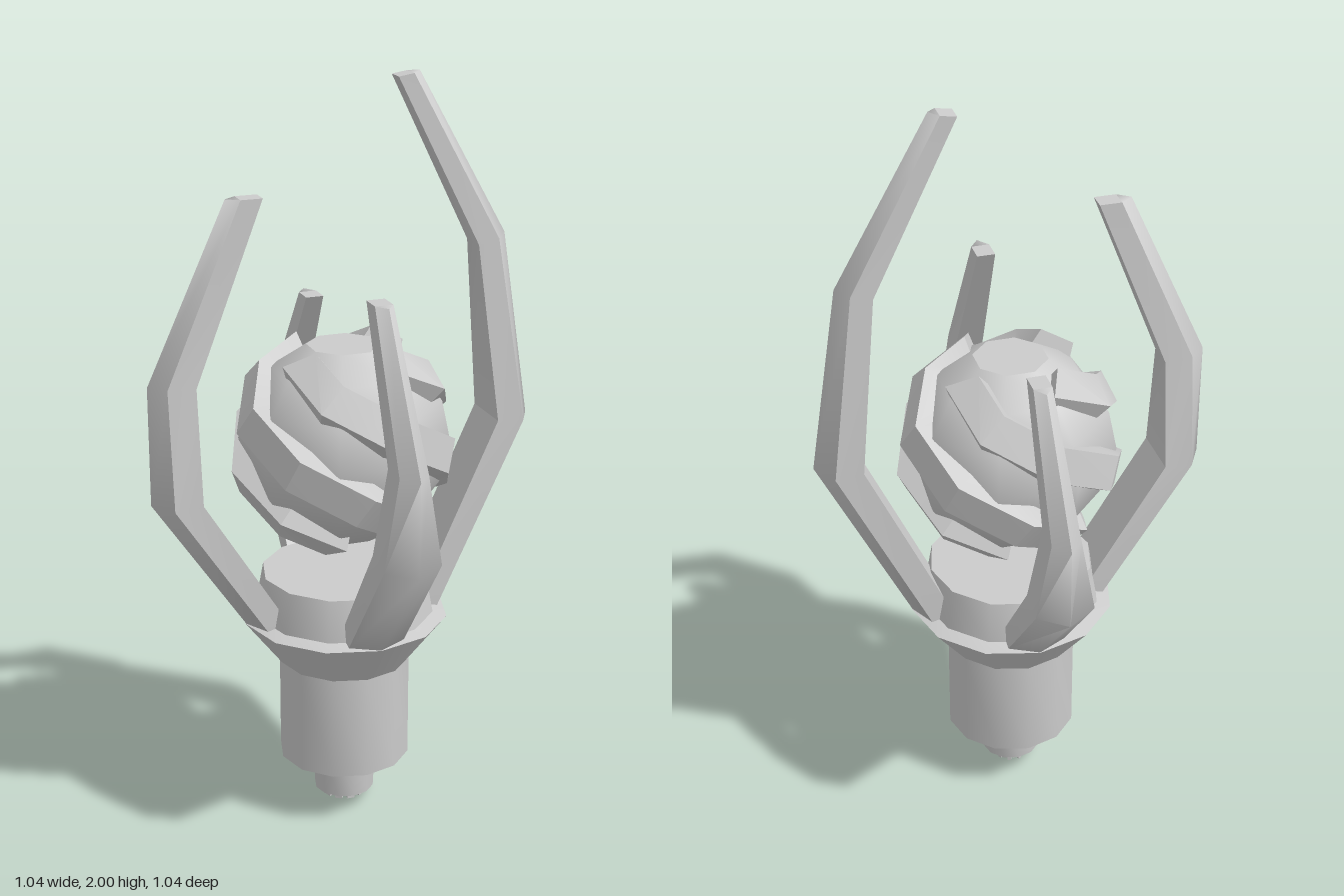
import * as THREE from 'three';
import { mergeGeometries, toCreasedNormals } from 'three/addons/utils/BufferGeometryUtils.js';

const grey = new THREE.MeshStandardMaterial({ color: 0xcccccc, side: THREE.DoubleSide });
const V = (x, y, z) => new THREE.Vector3(x, y, z);

function add(parent, name, geometry) {
  const mesh = new THREE.Mesh(geometry, grey);
  mesh.name = name;
  parent.add(mesh);
  return mesh;
}

function group(parent, name) {
  const g = new THREE.Group();
  g.name = name;
  parent.add(g);
  return g;
}

// Turned shape from [radius, y] pairs, listed upwards
function lathe(profile, sides, turn = 0) {
  return new THREE.LatheGeometry(profile.map(([r, y]) => new THREE.Vector2(r, y)), sides, turn);
}
const turned = (profile) => toCreasedNormals(lathe(profile, 12), 0.65);

// Skin over a row of equal-sized sections with end caps; an open one leaves out the last side
function loft(rings, crease, closed = true) {
  const pos = [];
  const tri = (a, b, c) => [a, b, c].forEach((p) => pos.push(p.x, p.y, p.z));
  const n = rings[0].length;
  for (let k = 0; k < rings.length - 1; k++) {
    for (let i = 0; i < (closed ? n : n - 1); i++) {
      const j = (i + 1) % n, a = rings[k], b = rings[k + 1];
      tri(a[i], a[j], b[j]);
      tri(a[i], b[j], b[i]);
    }
  }
  const first = rings[0], last = rings[rings.length - 1];
  for (let i = 1; i < n - 1; i++) {
    tri(first[0], first[i + 1], first[i]);
    tri(last[0], last[i], last[i + 1]);
  }
  const geo = new THREE.BufferGeometry();
  geo.setAttribute('position', new THREE.Float32BufferAttribute(pos, 3));
  return toCreasedNormals(geo, crease);
}

// Claw arm with a rounded ridge outside and flat sides; stations are [outer, inner, outerY, innerY]
function armGeometry(stations) {
  const widths = [0.076, 0.076, 0.038, 0.024];
  const ridge = [], sides = [];
  stations.forEach(([outer, inner, yo, yi], k) => {
    const w = widths[k];
    const mid = THREE.MathUtils.lerp(outer, inner, 0.36);
    const ym = THREE.MathUtils.lerp(yo, yi, 0.36);
    const left = V(w, ym, mid), right = V(-w, ym, mid);
    ridge.push([right, V(0, yo, outer), left]);
    sides.push([left, V(w, yi, inner), V(-w, yi, inner), right]);
  });
  return mergeGeometries([loft(ridge, 1.45, false), loft(sides, 0.4, false)]);
}

// Broad fin winding down the ball from pole to pole
function finGeometry(start) {
  const topPolar = 0.58, steps = 6;
  const at = (p) => {
    const a = start + 1.9 * (p - topPolar);
    return V(Math.sin(p) * Math.sin(a), Math.cos(p), Math.sin(p) * Math.cos(a));
  };
  const rings = [];
  for (let k = 0; k <= steps; k++) {
    const p = THREE.MathUtils.lerp(Math.PI - topPolar, topPolar, k / steps);
    const normal = at(p);
    const side = at(p - 0.01).sub(at(p + 0.01)).normalize().cross(normal).normalize();
    const point = (s, r) => normal.clone().addScaledVector(side, s / r).setLength(r);
    rings.push([point(0.046, 0.306), point(0.06, 0.24), point(-0.06, 0.24), point(-0.046, 0.306)]);
  }
  return loft(rings, 0.6);
}

export function createModel() {
  const model = new THREE.Group();
  model.name = 'clawLamp';

  // Socket body, flared collar and seat under the ball
  add(model, 'socket', turned([[0, 0.155], [0.177, 0.155], [0.177, 0.44], [0, 0.44]]));
  add(model, 'collar', turned([[0, 0.44], [0.177, 0.44], [0.277, 0.57], [0.24, 0.58], [0.22, 0.69], [0, 0.69]]));

  // Hollow stem with contact pins, the rear ones longer
  add(model, 'stem', turned([[0, 0.1], [0.07, 0.1], [0.073, 0.04], [0.081, 0.04], [0.087, 0.155]]));
  const pins = group(model, 'contactPins');
  const addPin = (angle, radius, width, bottom) => {
    const pin = add(pins, 'contactPin', new THREE.BoxGeometry(width, 0.1 - bottom, 0.01));
    pin.position.set(Math.sin(angle) * radius, (0.1 + bottom) / 2, Math.cos(angle) * radius);
    pin.rotation.y = angle;
  };
  for (let i = 0; i < 10; i++) addPin((i / 10) * Math.PI * 2, 0.052, 0.02, 0.02);
  for (let i = 0; i < 4; i++) addPin(Math.PI + (i - 1.5) * 0.7, 0.04, 0.01, 0);

  // Four claw arms of different heights
  const foot = [0.275, 0.17, 0.57, 0.57];
  const arms = [
    ['frontArm', 0, [foot, [0.522, 0.405, 0.87, 0.9], [0.522, 0.405, 1.12, 1.12], [0.31, 0.22, 1.49, 1.49]]],
    ['leftArm', Math.PI / 2, [foot, [0.52, 0.405, 1.07, 1.08], [0.443, 0.355, 1.57, 1.55], [0.2, 0.135, 2.0, 1.99]]],
    ['backArm', Math.PI, [foot, [0.522, 0.405, 0.84, 0.87], [0.522, 0.405, 1.06, 1.06], [0.31, 0.22, 1.38, 1.38]]],
    ['rightArm', -Math.PI / 2, [foot, [0.522, 0.405, 0.94, 0.95], [0.522, 0.405, 1.255, 1.25], [0.31, 0.22, 1.715, 1.715]]],
  ];
  for (const [name, turn, stations] of arms) {
    add(model, name, armGeometry(stations)).rotation.y = turn;
  }

  // Eight-sided ball with flat poles and four spiral fins
  const ball = group(model, 'ball');
  ball.position.y = 1.055;
  const core = [];
  for (let k = 0; k <= 6; k++) {
    const p = THREE.MathUtils.lerp(Math.PI - 0.36, 0.36, k / 6);
    core.push([0.276 * Math.sin(p), 0.276 * Math.cos(p)]);
  }
  add(ball, 'ballCore', lathe(core, 8, Math.PI / 8));
  for (const [r, y] of [core[0], core[6]]) {
    const cap = add(ball, 'ballCap', new THREE.CircleGeometry(r, 8, Math.PI / 8));
    cap.position.y = y;
    cap.rotation.x = -Math.sign(y) * Math.PI / 2;
  }
  for (let i = 0; i < 4; i++) {
    add(ball, 'spiralFin', finGeometry((i / 4) * Math.PI * 2 + 0.47));
  }
  return model;
}
